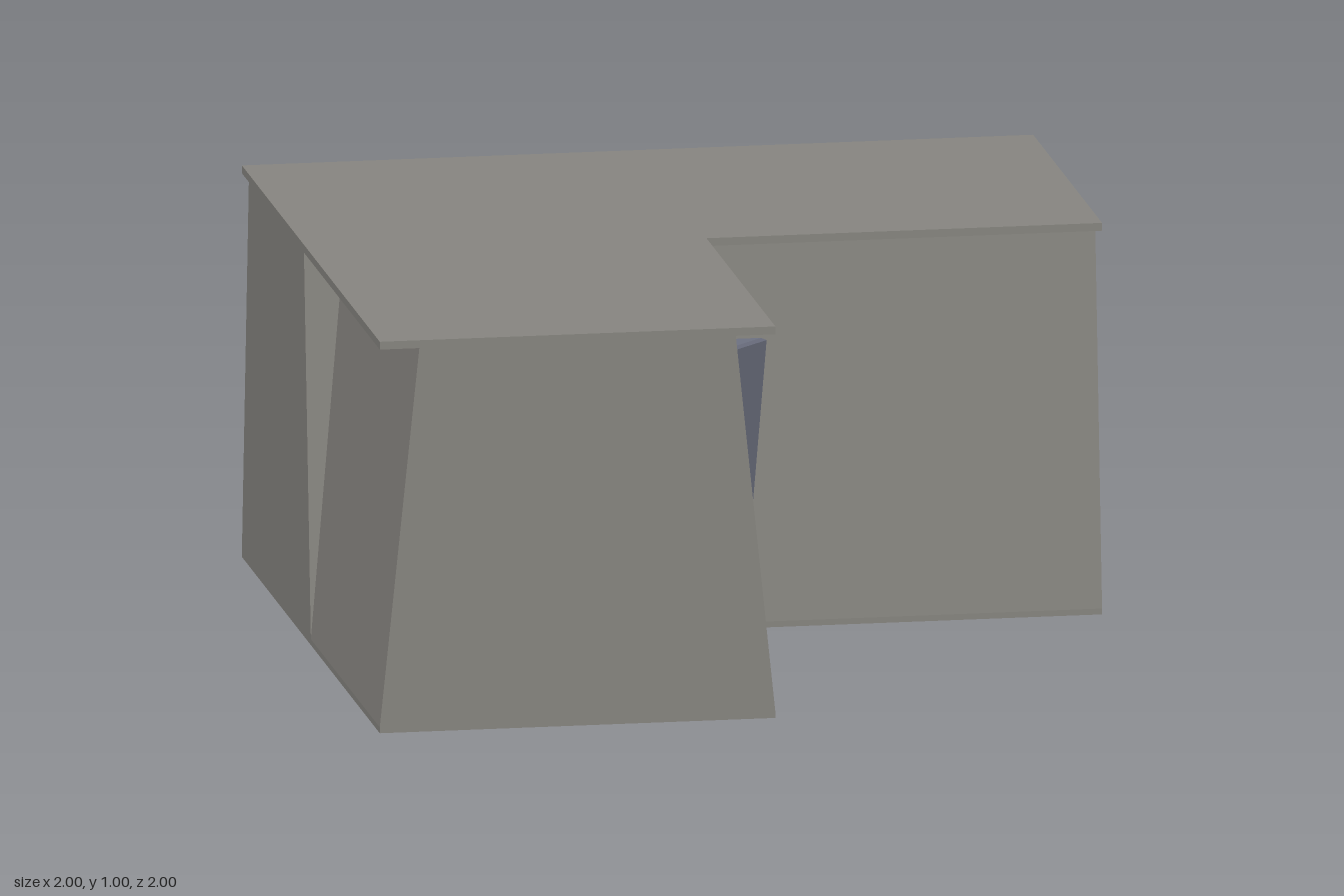
import * as THREE from 'three';
import { ConvexGeometry } from 'three/addons/geometries/ConvexGeometry.js';

const FLOOR = 0.015, CEILING = 0.98, LEAN = 0.1;

const material = (color) => new THREE.MeshStandardMaterial({ color, flatShading: true });

function polygon(points) {
  return new THREE.Shape(points.map(([x, y]) => new THREE.Vector2(x, y)));
}

// L-shaped plate, top face at the given height
function slab(name, top, thickness, mat) {
  const outline = polygon([[-1, -1], [1, -1], [1, 0], [0, 0], [0, 1], [-1, 1]]);
  const geometry = new THREE.ExtrudeGeometry(outline, { depth: thickness, bevelEnabled: false });
  geometry.rotateX(Math.PI / 2).translate(0, top, 0);
  const mesh = new THREE.Mesh(geometry, mat);
  mesh.name = name;
  return mesh;
}

// Two-unit-long wing whose long walls lean inwards and whose ends are upright
function wing(name, turn, mat) {
  const section = polygon([[-1, FLOOR], [0, FLOOR], [-LEAN, CEILING], [LEAN - 1, CEILING]]);
  const geometry = new THREE.ExtrudeGeometry(section, { depth: 2, bevelEnabled: false });
  geometry.translate(0, 0, -1).rotateY(turn);
  const mesh = new THREE.Mesh(geometry, mat);
  mesh.name = name;
  return mesh;
}

// Triangular corner tank that follows the leaning walls, with a small bevel at both ends
function cornerTank(mat) {
  const points = [];
  for (const [y, inset] of [[0.078, 0.008], [0.086, 0], [0.717, 0], [0.725, 0.008]]) {
    const back = -LEAN * (y - FLOOR) / (CEILING - FLOOR) + inset;
    const tip = 0.092 - back - inset;
    points.push(
      new THREE.Vector3(back, y, back),
      new THREE.Vector3(tip, y, back),
      new THREE.Vector3(back, y, tip));
  }
  const mesh = new THREE.Mesh(new ConvexGeometry(points), mat);
  mesh.name = 'cornerTank';
  return mesh;
}

export function createModel() {
  const group = new THREE.Group();
  group.name = 'cornerBuilding';
  const wall = material(0x86847f);

  // Building shell
  group.add(
    slab('floor', FLOOR, FLOOR, wall),
    wing('frontWing', 0, wall),
    wing('sideWing', -Math.PI / 2, wall),
    slab('roof', 1, 1 - CEILING, wall));

  // Tank in the inner corner, with a pipe running through it
  group.add(cornerTank(material(0x6c7080)));
  const pipe = new THREE.Mesh(new THREE.CylinderGeometry(0.042, 0.042, 0.75, 12), material(0xb0965f));
  pipe.name = 'pipe';
  pipe.position.set(-0.032, 0.44, -0.032);
  group.add(pipe);

  return group;
}
